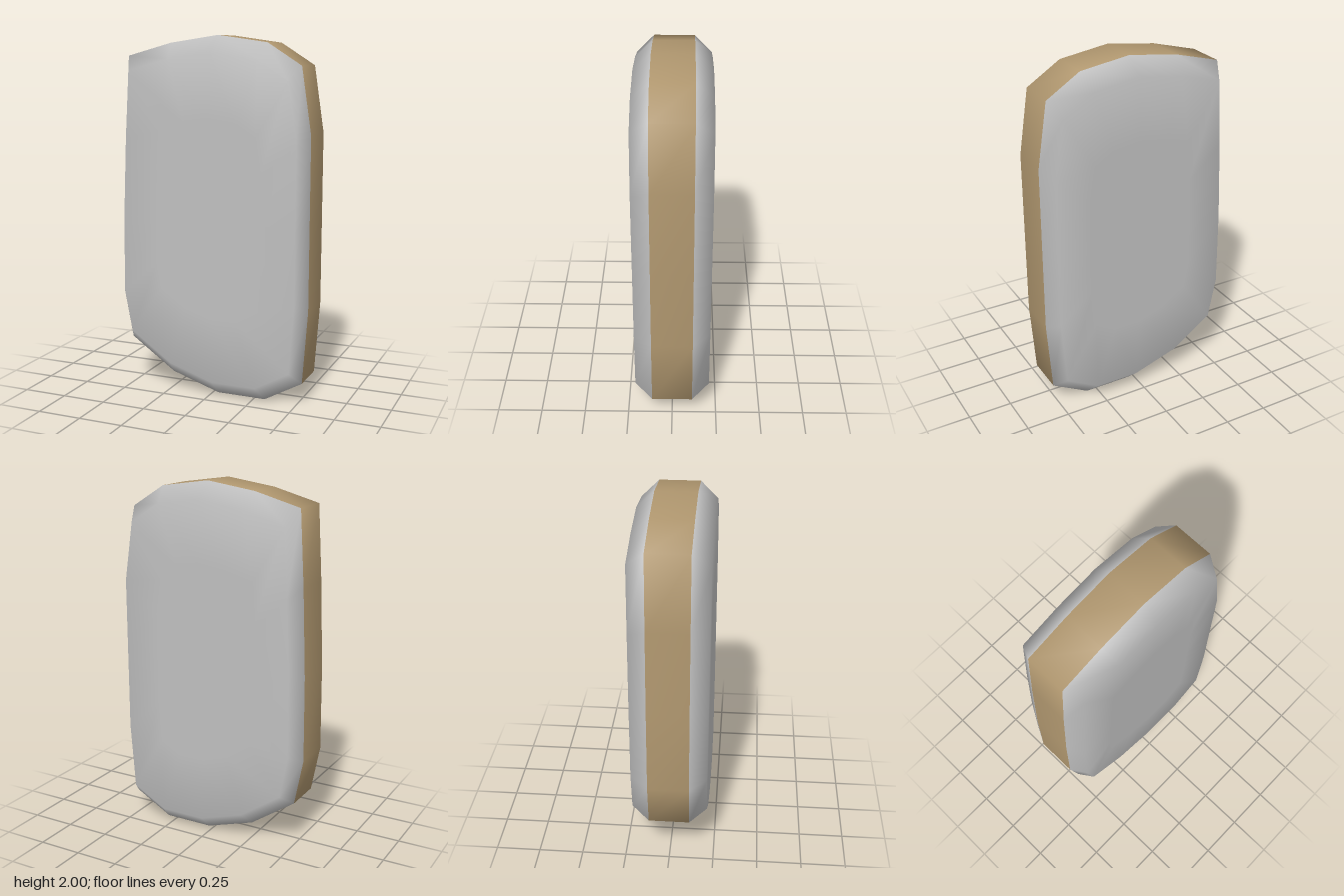
import * as THREE from 'three';

const grey = new THREE.MeshStandardMaterial({ color: 0xbfbfbf });
grey.name = 'grey face';
const tan = new THREE.MeshStandardMaterial({ color: 0xb0976f });
tan.name = 'tan edge band';

// Outline of the slab, counterclockwise as seen from the front
const outline = [
  [0.03, 0], [0.31, 0], [0.525, 0.12], [0.555, 0.53], [0.555, 1.0], [0.555, 1.48],
  [0.5, 1.84], [0.31, 1.96], [0.03, 2], [-0.25, 1.96], [-0.51, 1.89], [-0.535, 1.48],
  [-0.555, 1.0], [-0.56, 0.53], [-0.51, 0.27], [-0.25, 0.09],
];

// Cross-sections from back to front: [scale about the middle, z]
const sections = [
  [0, -0.208], [0.55, -0.208], [0.91, -0.208], [1, -0.113],
  [1, 0.113], [0.91, 0.208], [0.55, 0.208], [0, 0.208],
];
const bandIndex = 3; // the strip between sections 3 and 4 is the tan band

function slabGeometry() {
  const positions = [];
  for (const [s, z] of sections)
    for (const [x, y] of outline) positions.push(x * s, 1 + (y - 1) * s, z);

  const geometry = new THREE.BufferGeometry();
  const index = [];
  const n = outline.length;
  for (let r = 0; r < sections.length - 1; r++) {
    const start = index.length;
    for (let i = 0; i < n; i++) {
      const j = (i + 1) % n;
      const a = r * n + i, b = r * n + j, c = a + n, d = b + n;
      if (sections[r][0] > 0) index.push(a, b, c);
      if (sections[r + 1][0] > 0) index.push(b, d, c);
    }
    geometry.addGroup(start, index.length - start, r === bandIndex ? 1 : 0);
  }
  geometry.setAttribute('position', new THREE.Float32BufferAttribute(positions, 3));
  geometry.setIndex(index);
  geometry.computeVertexNormals();
  return geometry;
}

export function createModel() {
  const group = new THREE.Group();
  group.name = 'slab';
  // Bevelled body with soft normals shared across the colour change
  const body = new THREE.Mesh(slabGeometry(), [grey, tan]);
  body.name = 'bevelledSlab';
  group.add(body);
  return group;
}
